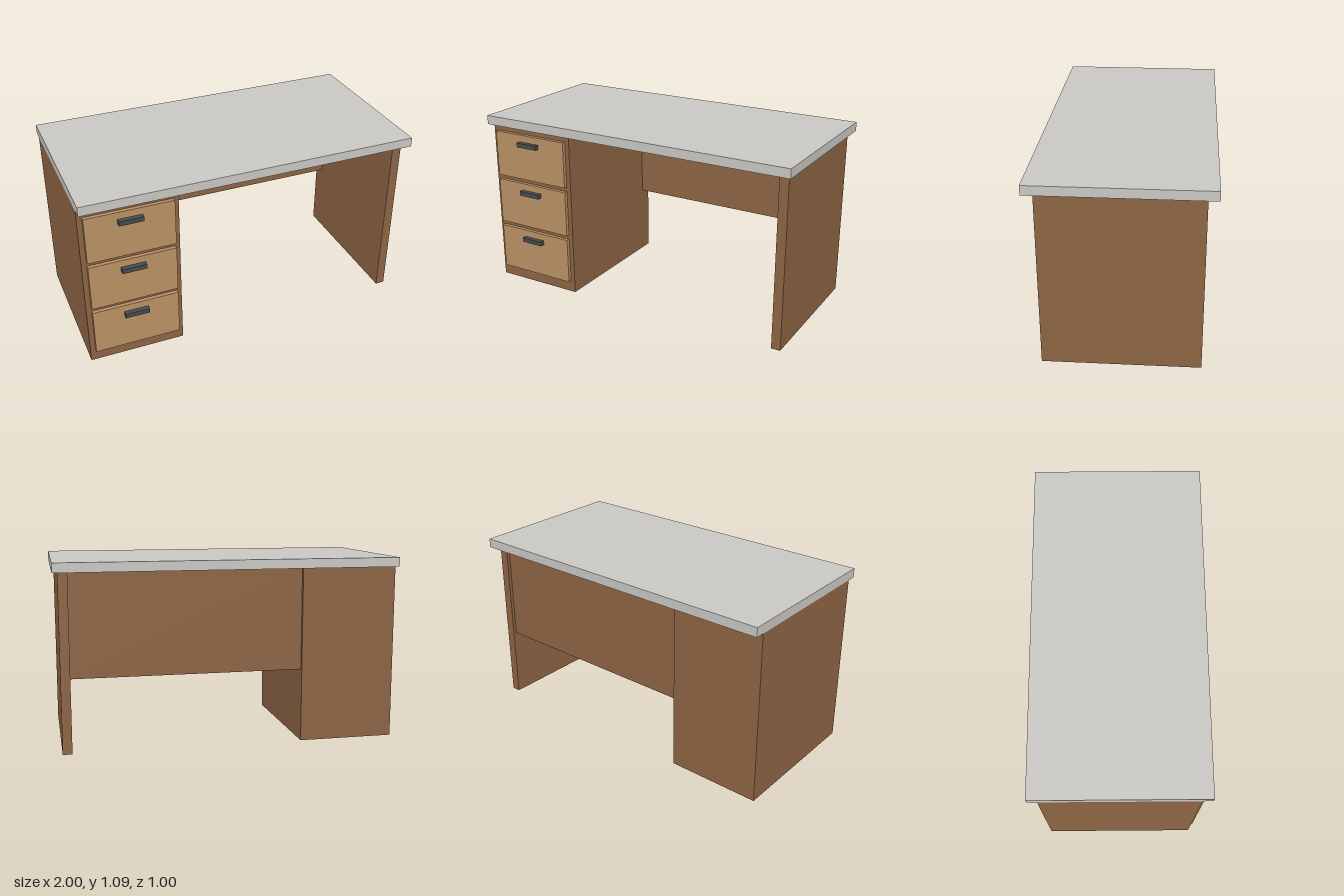
import * as THREE from 'three';

const mat = (name, color, side = THREE.FrontSide) => {
  const m = new THREE.MeshStandardMaterial({ color, side });
  m.name = name;
  return m;
};

export function createModel() {
  const group = new THREE.Group();
  const stone = mat('pale grey top', 0xc8c7c3);
  const wood = mat('brown wood', 0x8c6444, THREE.DoubleSide);
  const tan = mat('tan wood', 0xb99164);
  const dark = mat('dark metal', 0x484b4f);

  // Box given by its two extremes on each axis; optionally open underneath
  const box = (name, material, [x0, x1], [y0, y1], [z0, z1], openBelow = false) => {
    const g = new THREE.BoxGeometry(x1 - x0, y1 - y0, z1 - z0);
    if (openBelow) {
      const index = Array.from(g.index.array);
      index.splice(18, 6); // the downward face
      g.setIndex(index);
      g.clearGroups();
    }
    const m = new THREE.Mesh(g, material);
    m.name = name;
    m.position.set((x0 + x1) / 2, (y0 + y1) / 2, (z0 + z1) / 2);
    group.add(m);
  };

  const topY = 1.033;
  box('deskTop', stone, [-1, 1], [topY, 1.088], [-0.5, 0.5]);

  // Supports: hollow drawer cabinet, side leg and back panel
  box('cabinet', wood, [-1, -0.432], [0, topY], [-0.442, 0.442], true);
  box('sideLeg', wood, [0.915, 0.97], [0, topY], [-0.442, 0.442], true);
  box('backPanel', wood, [-0.432, 0.915], [0.43, topY], [-0.422, -0.367], true);

  // Drawer fronts with bar handles
  for (let i = 0; i < 3; i++) {
    const y = 0.073 + i * 0.314;
    box('drawerFront', tan, [-0.97, -0.46], [y, y + 0.285], [0.4425, 0.465]);
    box('drawerHandle', dark, [-0.787, -0.645], [y + 0.215, y + 0.242], [0.465, 0.494]);
  }
  return group;
}
